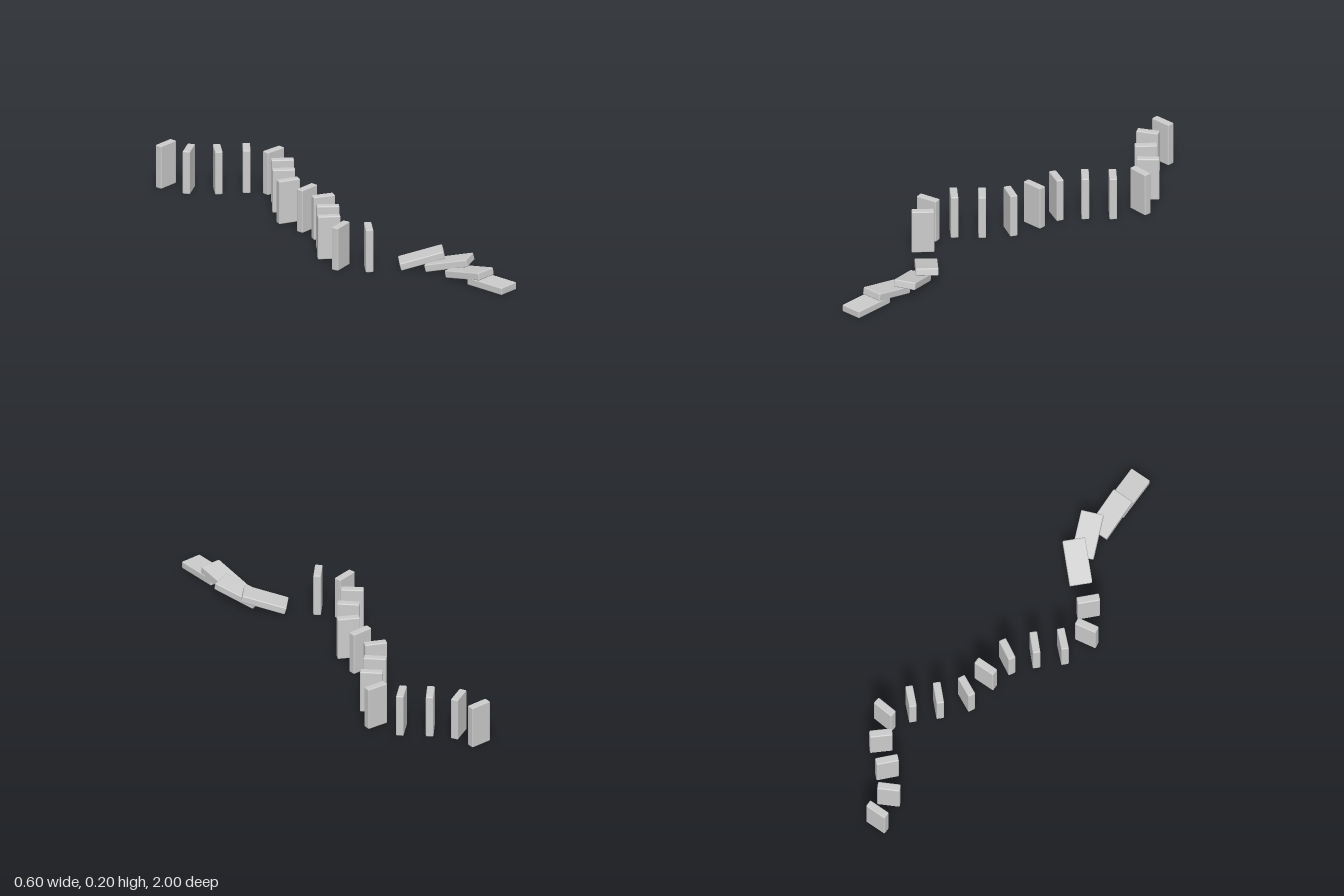
import * as THREE from 'three';
import { RoundedBoxGeometry } from 'three/addons/geometries/RoundedBoxGeometry.js';

const WIDTH = 0.1, HEIGHT = 0.2, THICK = 0.034;

export function createModel() {
  const group = new THREE.Group();
  group.name = 'dominoRun';
  const grey = new THREE.MeshStandardMaterial({ color: 0xcccccc });
  grey.name = 'light grey';
  const geometry = new RoundedBoxGeometry(WIDTH, HEIGHT, THICK, 2, 0.005);

  // A tile turned about y, leaning towards its own front, resting on the floor
  function addTile(name, x, z, turn, lean) {
    const a = THREE.MathUtils.degToRad(lean);
    const tile = new THREE.Mesh(geometry, grey);
    tile.name = name;
    tile.position.set(x, HEIGHT / 2 * Math.cos(a) + THICK / 2 * Math.sin(a), z);
    tile.rotation.set(a, THREE.MathUtils.degToRad(turn), 0, 'YXZ');
    group.add(tile);
  }

  // Standing tiles along the winding path, back to front: x, z, turn
  [
    [0, -0.983, 0], [0.02, -0.868, 28], [0.1, -0.77, 47], [0.193, -0.685, 42],
    [0.249, -0.577, -5], [0.185, -0.47, -44], [0.097, -0.387, -45], [0.016, -0.29, -26],
    [0, -0.167, 0], [-0.03, -0.048, -29], [-0.11, 0.048, -46], [-0.2, 0.132, -43],
    [-0.249, 0.243, 10], [-0.183, 0.347, 46],
  ].forEach(([x, z, turn], i) => addTile(`standingDomino${i + 1}`, x, z, turn, 0));

  // Fallen tiles, each propped on the next: x, z, turn, lean
  [
    [-0.012, 0.505, 45, 75], [0.025, 0.633, 22, 76], [0, 0.77, 0, 79.5], [0, 0.9, 0, 90],
  ].forEach(([x, z, turn, lean], i) => addTile(`fallenDomino${i + 1}`, x, z, turn, lean));

  return group;
}
